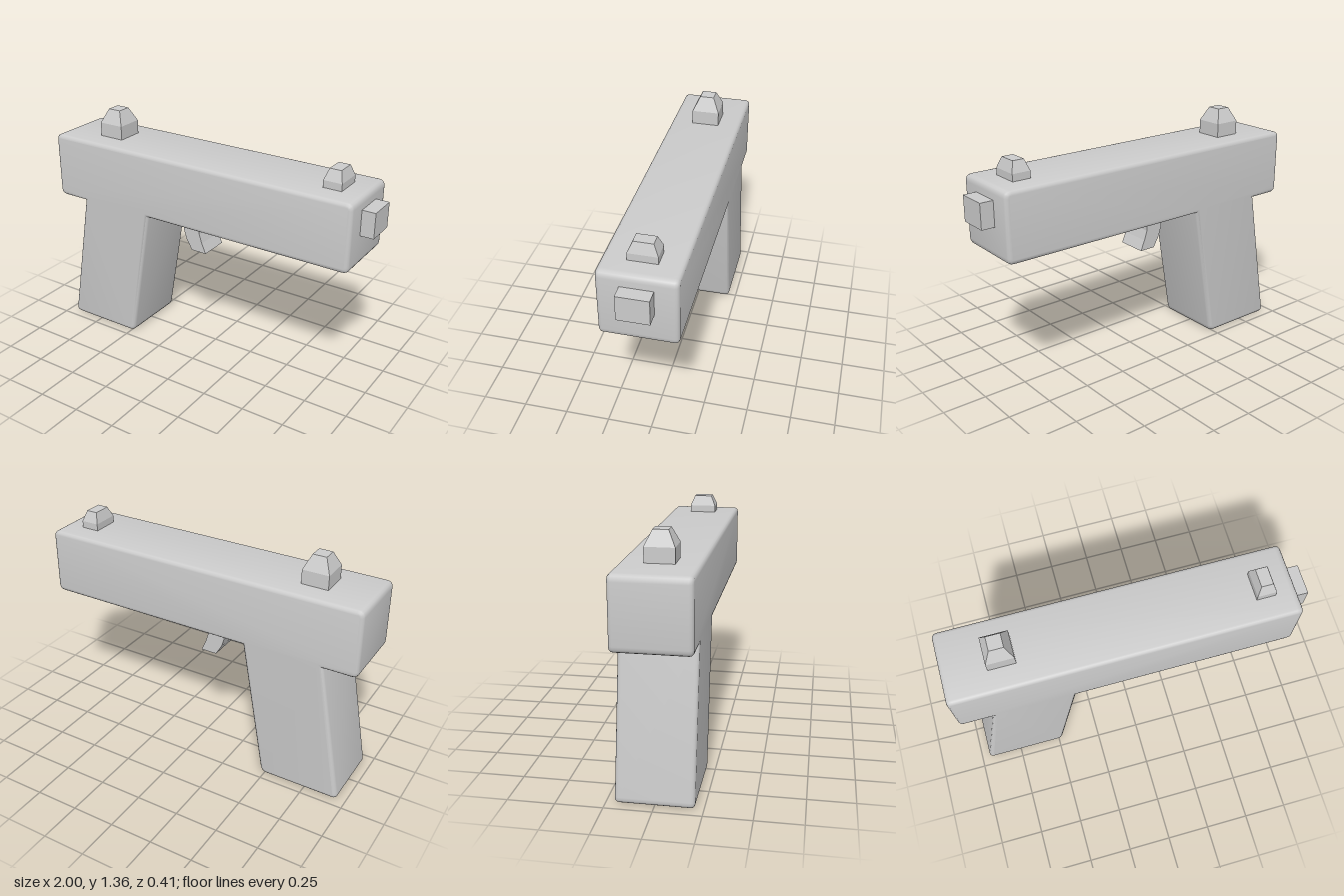
import * as THREE from 'three';
import { toCreasedNormals } from 'three/addons/utils/BufferGeometryUtils.js';

const smooth = new THREE.MeshStandardMaterial({ color: 0xcccccc });
const flat = new THREE.MeshStandardMaterial({ color: 0xcccccc, flatShading: true });

function part(name, geometry, material) {
  const mesh = new THREE.Mesh(geometry, material);
  mesh.name = name;
  return mesh;
}

// Closed outline whose corners are rounded by radius r (third value of a point overrides r)
function roundedOutline(points, r) {
  const shape = new THREE.Shape();
  const n = points.length;
  points.forEach(([x, y, radius = r], i) => {
    const corner = new THREE.Vector2(x, y);
    const toward = (p) => new THREE.Vector2(p[0], p[1]).sub(corner).setLength(radius).add(corner);
    const a = toward(points[(i + n - 1) % n]);
    const b = toward(points[(i + 1) % n]);
    if (i === 0) shape.moveTo(a.x, a.y);
    else shape.lineTo(a.x, a.y);
    if (radius > 0) shape.quadraticCurveTo(x, y, b.x, b.y);
  });
  shape.closePath();
  return shape;
}

// Block with straight lower half and a tapered upper half
function sight(name, x, base, shoulder, top, width, topWidth, depth, topDepth) {
  const geo = new THREE.BoxGeometry(1, 1, 1, 1, 2, 1);
  const p = geo.attributes.position;
  for (let i = 0; i < p.count; i++) {
    const y = p.getY(i);
    const isTop = y > 0.25;
    p.setXYZ(
      i,
      x + p.getX(i) * (isTop ? topWidth : width),
      isTop ? top : y < -0.25 ? base : shoulder,
      p.getZ(i) * (isTop ? topDepth : depth)
    );
  }
  geo.computeVertexNormals();
  return part(name, geo, flat);
}

export function createModel() {
  const model = new THREE.Group();
  model.name = 'toyBlaster';

  // Barrel housing and slanted grip in one bevelled piece
  const bevel = 0.022;
  const outline = roundedOutline([
    [-0.955, 0], [-0.478, 0], [-0.338, 0.815, 0], [0.925, 0.815],
    [0.925, 1.2], [-1, 1.2], [-1, 0.815], [-0.808, 0.815, 0],
  ], 0.036);
  const body = new THREE.ExtrudeGeometry(outline, {
    depth: 0.41 - 2 * bevel, curveSegments: 4,
    bevelThickness: bevel, bevelSize: bevel, bevelOffset: -bevel, bevelSegments: 3,
  });
  body.translate(0, 0, -0.205 + bevel);
  model.add(part('bodyAndGrip', toCreasedNormals(body, 0.8), smooth));

  // Muzzle block
  const muzzle = new THREE.BoxGeometry(0.1, 0.142, 0.17);
  muzzle.translate(0.95, 1.06, 0);
  model.add(part('muzzle', muzzle, flat));

  // Sights on the top
  model.add(sight('rearSight', -0.679, 1.18, 1.28, 1.36, 0.152, 0.078, 0.156, 0.08));
  model.add(sight('frontSight', 0.753, 1.18, 1.24, 1.3, 0.106, 0.066, 0.156, 0.104));

  // Curved trigger
  const triggerShape = new THREE.Shape([
    [-0.16, 0.84], [-0.16, 0.74], [-0.143, 0.685], [-0.107, 0.625],
    [-0.012, 0.625], [-0.038, 0.685], [-0.055, 0.74], [-0.055, 0.84],
  ].map(([x, y]) => new THREE.Vector2(x, y)));
  const trigger = new THREE.ExtrudeGeometry(triggerShape, { depth: 0.176, bevelEnabled: false });
  trigger.translate(0, 0, -0.088);
  model.add(part('trigger', trigger, flat));

  return model;
}
